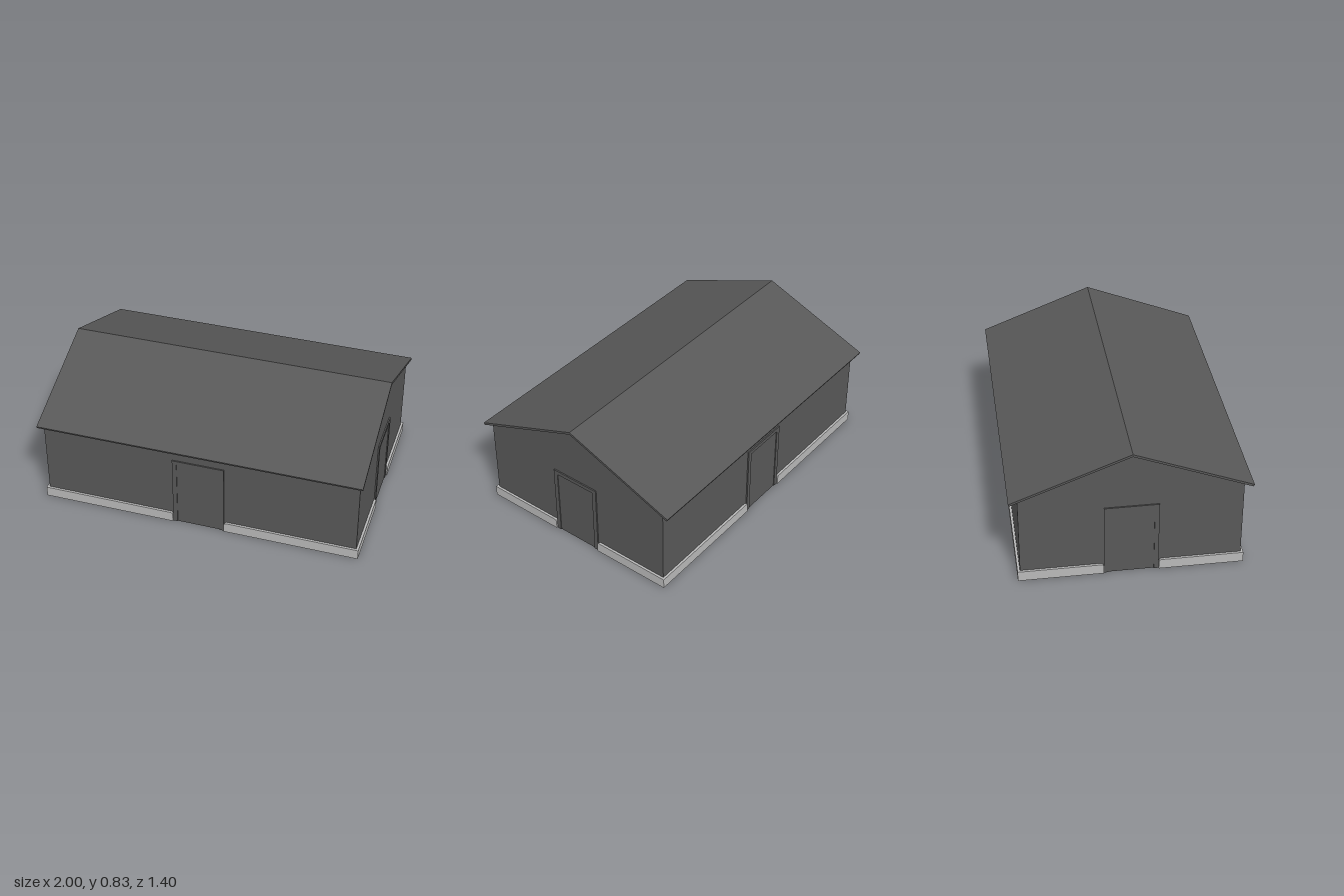
import * as THREE from 'three';

const WALL_X = 0.976, WALL_Z = 0.648;   // wall planes
const RIDGE = 0.828, EAVE = 0.557, EAVE_Z = 0.7, ROOF_T = 0.014;
const SLOPE = (RIDGE - EAVE) / EAVE_Z;
const GAP = 0.16;                        // half width of a door frame

export function createModel() {
  const model = new THREE.Group();
  const dark = new THREE.MeshStandardMaterial({ color: 0x585858, side: THREE.DoubleSide });
  dark.name = 'darkGrey';
  const light = new THREE.MeshStandardMaterial({ color: 0xb8b8b8 });
  light.name = 'lightGrey';

  const add = (parent, name, geometry, material) => {
    const mesh = new THREE.Mesh(geometry, material);
    mesh.name = name;
    parent.add(mesh);
    return mesh;
  };
  const polygon = (points) => new THREE.Shape(points.map(([x, y]) => new THREE.Vector2(x, y)));
  const extrude = (points, depth) =>
    new THREE.ExtrudeGeometry(polygon(points), { depth, bevelEnabled: false });

  // Roof: a folded slab with square-cut eaves
  const len = Math.hypot(1, SLOPE);
  const inZ = EAVE_Z - ROOF_T * SLOPE / len;
  const inY = EAVE - ROOF_T / len;
  const underRidge = RIDGE - ROOF_T * len;
  const roof = extrude([
    [EAVE_Z, EAVE], [0, RIDGE], [-EAVE_Z, EAVE],
    [-inZ, inY], [0, underRidge], [inZ, inY],
  ], 2);
  roof.translate(0, 0, -1).rotateY(Math.PI / 2);
  add(model, 'roof', roof, dark);

  // One side, built facing +z and then turned into place
  const wallTop = underRidge - SLOPE * WALL_Z;
  function buildSide(name, half, distance, gable, angle) {
    const side = new THREE.Group();
    side.name = name;
    side.rotation.y = angle;

    const outline = [[-half, 0], [half, 0], [half, wallTop]];
    if (gable) outline.push([0, underRidge]);
    outline.push([-half, wallTop]);
    const wall = new THREE.ShapeGeometry(polygon(outline));
    add(side, 'wall', wall.translate(0, 0, distance), dark);

    // Door frame and panel stand proud on both faces of the wall
    const frame = extrude([
      [-GAP, 0], [-0.133, 0], [-0.133, 0.436], [0.133, 0.436],
      [0.133, 0], [GAP, 0], [GAP, 0.461], [-GAP, 0.461],
    ], 0.016);
    add(side, 'doorFrame', frame.translate(0, 0, distance - 0.008), dark);
    const panel = new THREE.BoxGeometry(0.266, 0.436, 0.006);
    add(side, 'doorPanel', panel.translate(0, 0.218, distance), dark);

    // Plinth strips, chamfered beside the door
    const end = half + 0.015;
    for (const s of [-1, 1]) {
      const strip = extrude([
        [s * (GAP + 0.002), 0], [s * end, 0], [s * end, 0.064],
        [s * (GAP + 0.014), 0.064], [s * (GAP + 0.005), 0.059], [s * (GAP + 0.002), 0.05],
      ], 0.0145);
      add(side, s < 0 ? 'plinthRight' : 'plinthLeft', strip.translate(0, 0, distance + 0.0005), light);
    }
    model.add(side);
  }

  buildSide('frontSide', WALL_X, WALL_Z, false, 0);
  buildSide('backSide', WALL_X, WALL_Z, false, Math.PI);
  buildSide('leftSide', WALL_Z, WALL_X, true, Math.PI / 2);
  buildSide('rightSide', WALL_Z, WALL_X, true, -Math.PI / 2);
  return model;
}
